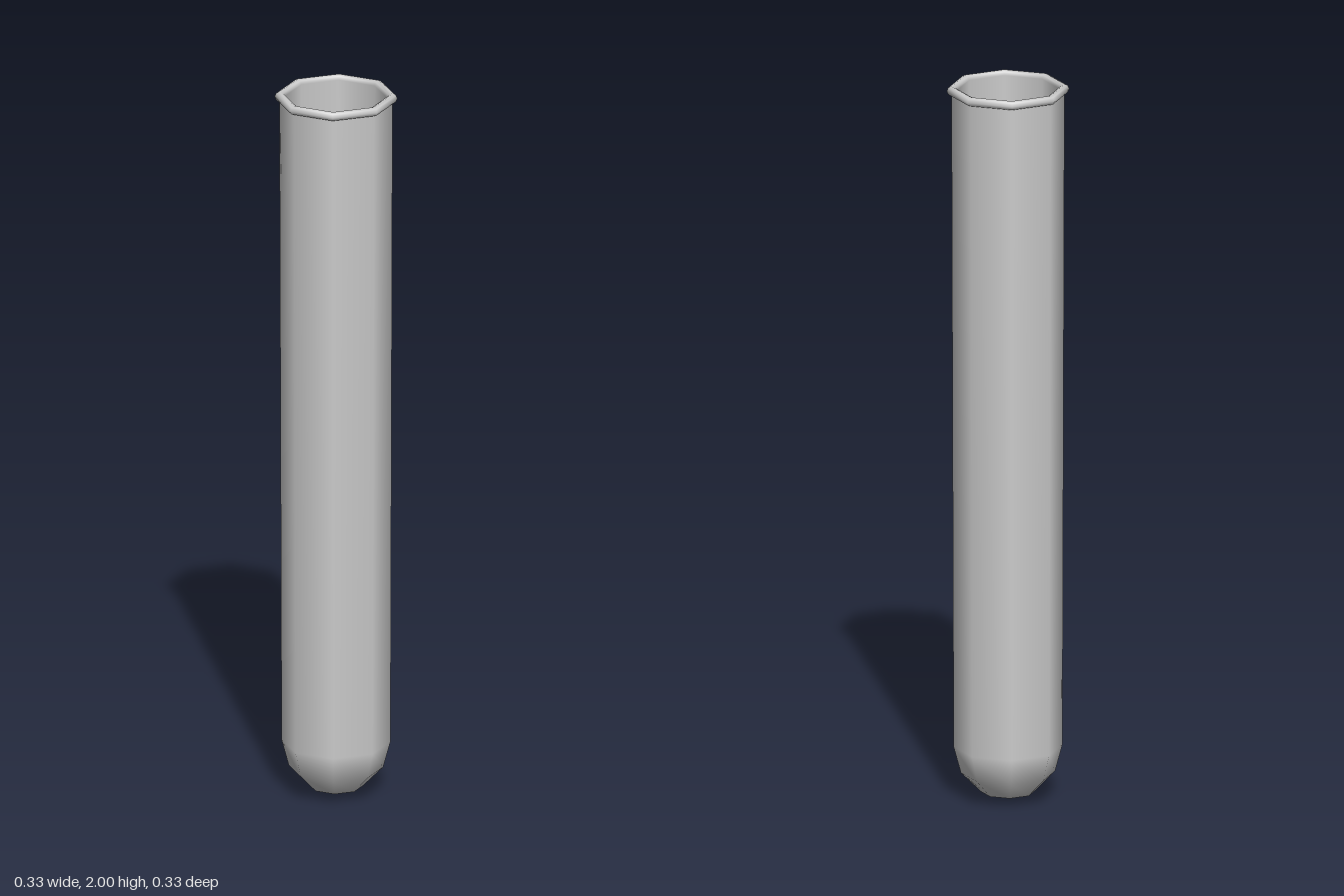
import * as THREE from 'three';

const SIDES = 8;

// Points of an arc in the profile plane, angles in degrees
function arc(cx, cy, r, from, to, steps) {
  const points = [];
  for (let i = 0; i <= steps; i++) {
    const a = THREE.MathUtils.degToRad(from + ((to - from) * i) / steps);
    points.push(new THREE.Vector2(Math.max(0, cx + r * Math.cos(a)), cy + r * Math.sin(a)));
  }
  return points;
}

export function createModel() {
  const group = new THREE.Group();
  group.name = 'testTube';

  const outer = 0.147, inner = 0.137;
  const profile = [
    // Rounded bottom, outside
    ...arc(0, outer, outer, -90, 0, 3),
    // Rolled rim; the straight walls join it below on both sides
    ...arc(0.1525, 1.987, 0.013, -90, 180, 6),
    // Rounded bottom, inside
    ...arc(0, outer, inner, 0, -90, 3),
  ];

  const glass = new THREE.Mesh(
    new THREE.LatheGeometry(profile, SIDES),
    new THREE.MeshStandardMaterial({ color: 0xcccccc, side: THREE.DoubleSide })
  );
  glass.name = 'tubeWithRim';
  group.add(glass);
  return group;
}
